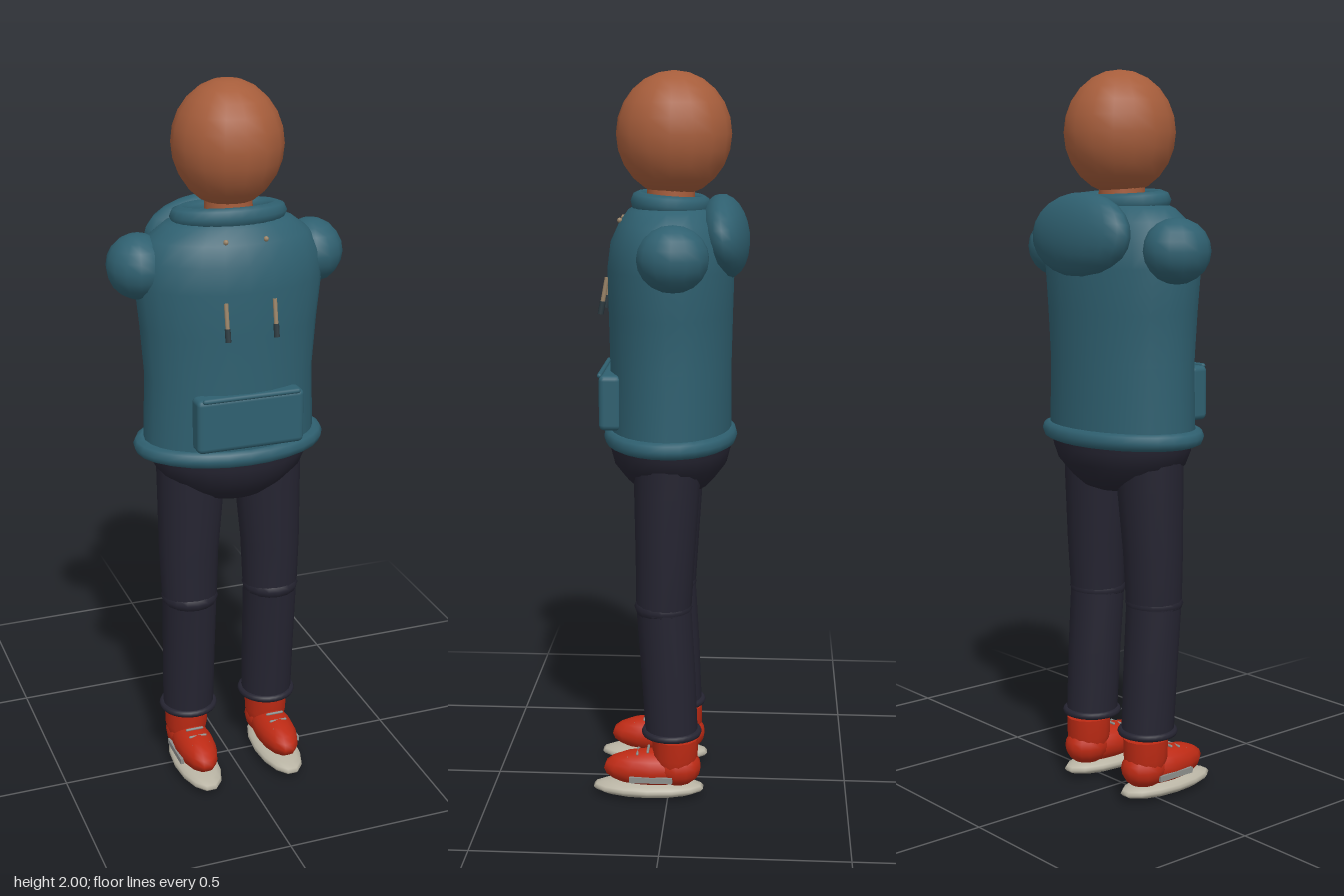
import * as THREE from 'three';
import { RoundedBoxGeometry } from 'three/addons/geometries/RoundedBoxGeometry.js';

const mat = (name, color) => {
  const m = new THREE.MeshStandardMaterial({ color });
  m.name = name;
  return m;
};

// Smooth closed skin over elliptical rings [y, rx, rz, cx, cz], listed bottom to top
function loft(rings, n = 20) {
  const pos = [], idx = [];
  const add = ([y, rx, rz, cx = 0, cz = 0]) => {
    for (let i = 0; i < n; i++) {
      const a = (i / n) * Math.PI * 2;
      pos.push(cx + rx * Math.sin(a), y, cz + rz * Math.cos(a));
    }
  };
  rings.forEach(add);
  for (let r = 0; r < rings.length - 1; r++) {
    for (let i = 0; i < n; i++) {
      const a = r * n + i, b = r * n + (i + 1) % n;
      idx.push(a, b, b + n, a, b + n, a + n);
    }
  }
  // End caps with their own vertices, so the rims stay sharp
  [[rings[0], false], [rings[rings.length - 1], true]].forEach(([ring, up]) => {
    const s = pos.length / 3;
    add(ring);
    for (let i = 1; i < n - 1; i++) idx.push(s, up ? s + i : s + i + 1, up ? s + i + 1 : s + i);
  });
  const g = new THREE.BufferGeometry();
  g.setAttribute('position', new THREE.Float32BufferAttribute(pos, 3));
  g.setIndex(idx);
  g.computeVertexNormals();
  return g;
}

const ball = (rx, ry, rz, w = 14, h = 10) => new THREE.SphereGeometry(1, w, h).scale(rx, ry, rz);

// Horizontal elliptical ring with a flattened round section
function ring(rx, rz, tube, ry = tube) {
  const g = new THREE.TorusGeometry(1, tube / rx, 8, 28).rotateX(Math.PI / 2);
  return g.scale(rx, (ry * rx) / tube, rz);
}

export function createModel() {
  const root = new THREE.Group();
  root.name = 'hoodedFigure';
  const skin = mat('skin', 0xa65d3b);
  const teal = mat('hoodieTeal', 0x2f6070);
  const navy = mat('trouserNavy', 0x252431);
  const red = mat('shoeRed', 0xbd2a14);
  const sole = mat('solePale', 0xb9b4a4);
  const cord = mat('cordTan', 0x9a8468);
  const tip = mat('cordTipDark', 0x2c3a40);
  const lace = mat('laceGrey', 0x8d8f8c);

  const add = (parent, name, geo, material, x = 0, y = 0, z = 0, rx = 0) => {
    const m = new THREE.Mesh(geo, material);
    m.name = name;
    m.position.set(x, y, z);
    m.rotation.x = rx;
    parent.add(m);
    return m;
  };

  // Head and neck
  add(root, 'head', ball(0.147, 0.165, 0.155, 16, 12), skin, 0, 1.835, -0.008);
  add(root, 'neck', new THREE.CylinderGeometry(0.063, 0.068, 0.16, 14), skin, 0, 1.63, 0);

  // Hoodie body
  add(root, 'hoodieBody', loft([
    [1.0, 0.235, 0.165], [1.04, 0.24, 0.167], [1.22, 0.234, 0.166], [1.36, 0.245, 0.169],
    [1.48, 0.258, 0.172], [1.55, 0.25, 0.163], [1.6, 0.222, 0.14], [1.635, 0.175, 0.115],
    [1.655, 0.12, 0.085],
  ], 24), teal);
  add(root, 'hem', ring(0.245, 0.167, 0.024, 0.023), teal, 0, 1.023, 0);
  add(root, 'collar', ring(0.13, 0.088, 0.03, 0.027), teal, 0, 1.652, 0, -0.08);
  add(root, 'hood', ball(0.19, 0.113, 0.068, 18, 12), teal, 0, 1.565, -0.145, 0.12);

  // Front pocket with its rolled top edge
  add(root, 'pocket', new RoundedBoxGeometry(0.3, 0.15, 0.06, 2, 0.015), teal, 0, 1.13, 0.155);
  add(root, 'pocketEdge', new THREE.CapsuleGeometry(0.007, 0.26, 3, 8).rotateZ(Math.PI / 2),
    teal, 0, 1.203, 0.183);

  // Legs, drawn once and placed on both sides
  add(root, 'hips', loft([
    [0.867, 0.06, 0.07], [0.878, 0.11, 0.1], [0.905, 0.16, 0.125], [0.945, 0.203, 0.155],
    [0.985, 0.222, 0.165], [1.02, 0.225, 0.166],
  ], 24), navy);

  for (const s of [1, -1]) {
    const side = s > 0 ? 'left' : 'right';
    // Sleeve stub
    add(root, side + 'Shoulder', ball(0.085, 0.087, 0.095), teal, s * 0.243, 1.526, -0.02);

    // Drawstring and eyelet
    add(root, side + 'Eyelet', ball(0.007, 0.007, 0.007, 8, 6), cord, s * 0.055, 1.61, 0.133);
    const string = new THREE.Group();
    string.name = side + 'Drawstring';
    string.position.set(s * 0.067, 1.41, 0.176);
    string.rotation.x = -0.18;
    root.add(string);
    add(string, 'cord', new THREE.CylinderGeometry(0.006, 0.006, 0.07, 8), cord, 0, 0.015, 0);
    add(string, 'cordTip', new THREE.CylinderGeometry(0.008, 0.008, 0.035, 8), tip, 0, -0.033, 0);

    const leg = new THREE.Group();
    leg.name = side + 'Leg';
    leg.position.x = s * 0.122;
    root.add(leg);
    add(leg, 'thigh', loft([
      [0.55, 0.078, 0.076, 0, 0.012], [0.7, 0.084, 0.081, 0, 0.008],
      [0.88, 0.093, 0.089, -s * 0.008, 0.004], [0.97, 0.094, 0.09, -s * 0.008, 0.002],
    ], 16), navy);
    add(leg, 'knee', ball(0.081, 0.045, 0.08, 16, 8), navy, 0, 0.56, 0.013);
    add(leg, 'shin', loft([
      [0.19, 0.073, 0.073, 0, -0.01], [0.38, 0.075, 0.075, 0, 0], [0.56, 0.077, 0.076, 0, 0.012],
    ], 16), navy);
    add(leg, 'cuff', ring(0.074, 0.074, 0.01), navy, 0, 0.196, -0.01);

    // Shoe
    const shoe = new THREE.Group();
    shoe.name = side + 'Shoe';
    shoe.position.x = s * 0.003;
    leg.add(shoe);
    add(shoe, 'sole', ball(0.063, 0.026, 0.158, 14, 10), sole, 0, 0.03, 0.055);
    add(shoe, 'upper', ball(0.057, 0.053, 0.136, 14, 10), red, 0, 0.086, 0.047);
    add(shoe, 'heel', ball(0.059, 0.055, 0.068, 14, 10), red, 0, 0.092, -0.025);
    add(shoe, 'ankleCollar', loft([
      [0.1, 0.055, 0.055, 0, -0.02], [0.125, 0.061, 0.063, 0, -0.02], [0.178, 0.063, 0.064, 0, -0.02],
    ], 14), red);
    add(shoe, 'sideStripe', new THREE.BoxGeometry(0.009, 0.016, 0.12), lace, s * 0.055, 0.07, 0.045);
    // Laces stepping down the instep
    [[0.14, 0.056], [0.133, 0.085], [0.122, 0.113]].forEach(([y, z]) => {
      add(shoe, 'lace', new THREE.CapsuleGeometry(0.004, 0.046, 2, 6).rotateZ(Math.PI / 2), lace, 0, y, z);
    });
  }
  return root;
}
